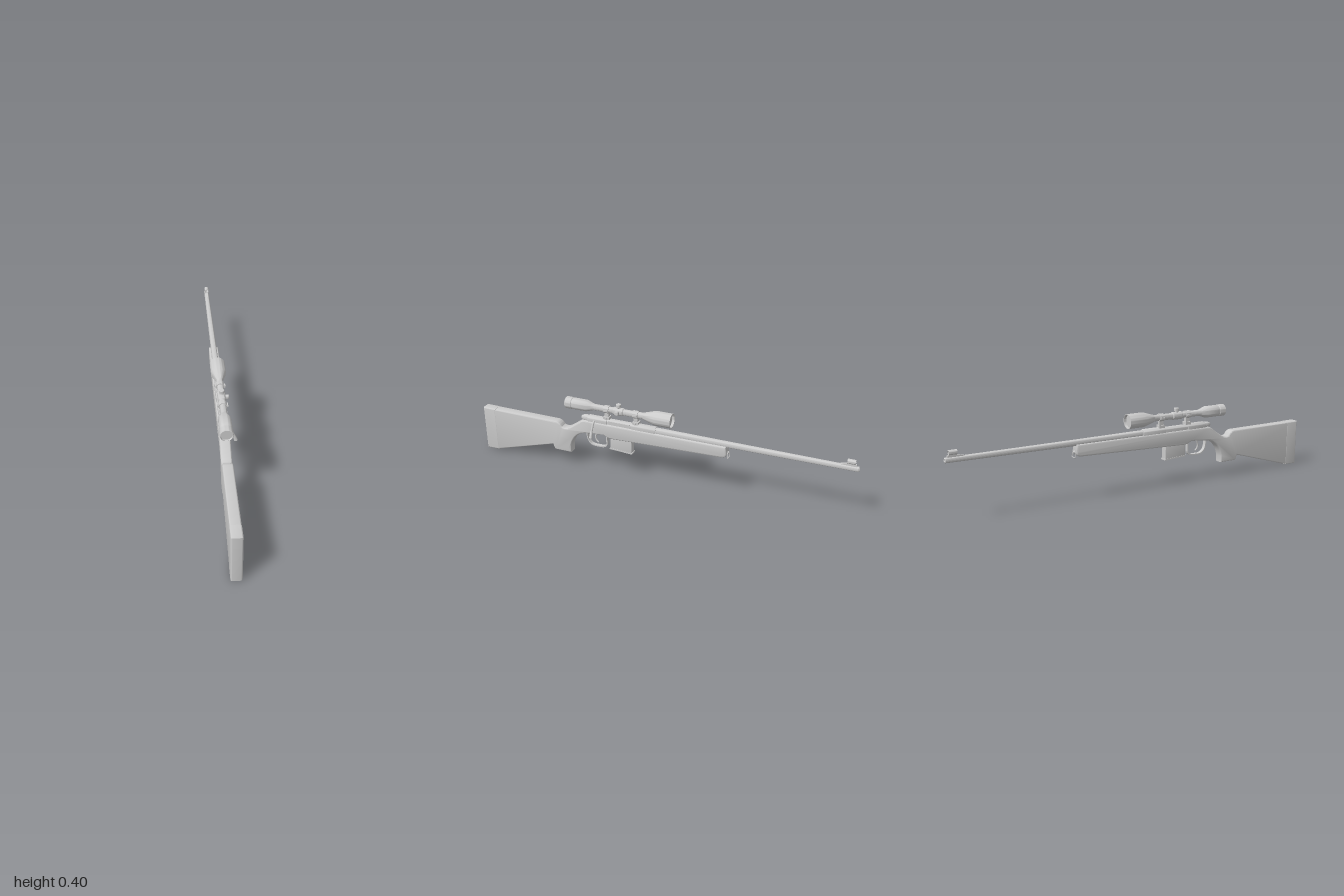
import * as THREE from 'three';
import { toCreasedNormals } from 'three/addons/utils/BufferGeometryUtils.js';

const material = new THREE.MeshStandardMaterial({ color: 0xcccccc, side: THREE.DoubleSide });
const BORE_Y = 0.287, SCOPE_Y = 0.357;

export function createModel() {
  const model = new THREE.Group();
  model.name = 'rifle';
  const body = new THREE.Group(); // everything sits on one centre plane
  body.name = 'body';
  body.position.x = -0.012;
  model.add(body);

  function add(name, geometry, x = 0, y = 0, z = 0, parent = body) {
    const mesh = new THREE.Mesh(geometry, material);
    mesh.name = name;
    mesh.position.set(x, y, z);
    parent.add(mesh);
    return mesh;
  }

  // turned part along z, from [radius, z] pairs with z rising
  function turned(points, segments = 32) {
    const g = new THREE.LatheGeometry(points.map(([r, z]) => new THREE.Vector2(r, z)), segments);
    return toCreasedNormals(g.rotateX(Math.PI / 2), 0.6);
  }

  // side profile in (z, y), extruded across x with rounded edges
  function slab(shape, width, bevel) {
    const g = new THREE.ExtrudeGeometry(shape, {
      depth: width - 2 * bevel, bevelEnabled: bevel > 0, bevelSize: bevel,
      bevelThickness: bevel, bevelOffset: -bevel, bevelSegments: 3, curveSegments: 8,
    });
    g.translate(0, 0, bevel - width / 2).rotateY(-Math.PI / 2);
    return toCreasedNormals(g, 0.6);
  }

  function tube(points, radius, closed = false, tension = 0.5) {
    const path = new THREE.CatmullRomCurve3(points.map(p => new THREE.Vector3(...p)), closed, 'catmullrom', tension);
    return new THREE.TubeGeometry(path, 32, radius, 10, closed);
  }

  // Stock: butt, wrist, grip and forearm in one outline
  const s = new THREE.Shape();
  s.moveTo(0.995, 0.245);
  s.lineTo(0.995, 0.004);
  s.lineTo(0.925, 0.004);
  s.lineTo(0.58, 0.105);
  s.quadraticCurveTo(0.575, 0.077, 0.562, 0.077);
  s.lineTo(0.473, 0.077);
  s.lineTo(0.473, 0.112);
  s.bezierCurveTo(0.465, 0.155, 0.44, 0.197, 0.385, 0.208);
  s.lineTo(0.28, 0.218);
  s.quadraticCurveTo(0.26, 0.203, 0.235, 0.203);
  s.lineTo(0.1, 0.207);
  s.lineTo(-0.355, 0.221);
  s.quadraticCurveTo(-0.378, 0.224, -0.378, 0.245);
  s.lineTo(-0.372, 0.28);
  s.lineTo(0.385, 0.28);
  s.quadraticCurveTo(0.405, 0.278, 0.42, 0.262);
  s.lineTo(0.475, 0.224);
  s.quadraticCurveTo(0.5, 0.207, 0.522, 0.218);
  s.quadraticCurveTo(0.535, 0.243, 0.56, 0.243);
  s.closePath();
  add('stock', slab(s, 0.05, 0.007));

  // Butt pad
  const pad = new THREE.Shape([[1, 0.246], [0.925, 0.2455], [0.925, 0.002], [1, 0]]
    .map(p => new THREE.Vector2(...p)));
  add('buttPad', slab(pad, 0.0515, 0.007));

  // Barrel with hollow muzzle
  add('barrel', turned([
    [0, -0.97], [0.007, -0.97], [0.007, -0.998], [0.009, -1], [0.0125, -0.996], [0.013, -0.9],
    [0.0155, -0.35], [0.0175, -0.04], [0.0175, 0.02],
  ]), 0, BORE_Y);

  // Receiver, bolt and cocking piece
  add('receiver', turned([[0, -0.005], [0.02, -0.005], [0.022, 0], [0.022, 0.125], [0.019, 0.126],
    [0.019, 0.26], [0.022, 0.261], [0.022, 0.365], [0.019, 0.372], [0, 0.372]]), 0, BORE_Y);
  add('boltShroud', turned([[0, 0.36], [0.017, 0.36], [0.017, 0.385], [0.015, 0.395],
    [0.012, 0.405], [0.006, 0.411], [0, 0.412]]), 0, BORE_Y + 0.002);
  add('ejectionPort', new THREE.BoxGeometry(0.006, 0.014, 0.12), 0.018, BORE_Y + 0.006, 0.193);

  // Bolt handle
  const bolt = new THREE.Group();
  bolt.name = 'boltHandle';
  body.add(bolt);
  add('boltArm', tube([[0.01, 0.287, 0.33], [0.026, 0.284, 0.331], [0.036, 0.265, 0.333],
    [0.045, 0.238, 0.335], [0.053, 0.216, 0.336]], 0.0055), 0, 0, 0, bolt);
  const knob = add('boltKnob', toCreasedNormals(new THREE.CylinderGeometry(0.006, 0.009, 0.036, 20), 0.6),
    0.0505, 0.222, 0.336, bolt);
  knob.rotation.z = 0.33;

  // Magazine
  const mag = new THREE.Shape([[0.245, 0.225], [0.245, 0.143], [0.125, 0.136], [0.125, 0.225]]
    .map(p => new THREE.Vector2(...p)));
  add('magazine', slab(mag, 0.034, 0.003));
  const floor = new THREE.Shape([[0.248, 0.148], [0.248, 0.141], [0.122, 0.134], [0.122, 0.141]]
    .map(p => new THREE.Vector2(...p)));
  add('magazineFloor', slab(floor, 0.037, 0));

  // Trigger guard: rounded loop with an opening
  function loopPath(path, i) {
    path.moveTo(0.385 - i, 0.216 - i);
    path.quadraticCurveTo(0.385 - i, 0.137 + i, 0.335, 0.137 + i);
    path.lineTo(0.305, 0.137 + i);
    path.quadraticCurveTo(0.265 + i, 0.137 + i, 0.265 + i, 0.165);
    path.lineTo(0.265 + i, 0.222 - i);
    path.closePath();
    return path;
  }
  const guard = loopPath(new THREE.Shape(), 0);
  guard.holes.push(loopPath(new THREE.Path(), 0.006));
  add('triggerGuard', slab(guard, 0.02, 0));
  add('trigger', tube([[0, 0.215, 0.325], [0, 0.19, 0.335], [0, 0.172, 0.332], [0, 0.158, 0.32]], 0.0042));

  // Scope body
  const scope = new THREE.Group();
  scope.name = 'scope';
  scope.position.y = SCOPE_Y;
  body.add(scope);
  add('scopeTube', turned([
    [0, -0.075], [0.033, -0.075], [0.034, -0.088], [0.037, -0.088], [0.037, -0.005], [0.034, 0.01],
    [0.019, 0.058], [0.016, 0.066], [0.016, 0.17], [0.02, 0.175], [0.02, 0.225], [0.016, 0.23],
    [0.016, 0.335], [0.02, 0.35], [0.028, 0.372], [0.03, 0.38], [0.03, 0.45], [0.0285, 0.453],
    [0.0285, 0.457], [0.031, 0.46], [0.031, 0.493], [0.0285, 0.495], [0.027, 0.487], [0, 0.487],
  ], 40), 0, 0, 0, scope);

  // Adjustment turrets, on top and on the right-hand face
  const turret = () => toCreasedNormals(new THREE.LatheGeometry(
    [[0, 0], [0.01, 0], [0.01, 0.022], [0.013, 0.024], [0.013, 0.038], [0.011, 0.04], [0, 0.04]]
      .map(p => new THREE.Vector2(...p)), 24), 0.6);
  add('topTurret', turret(), 0, 0, 0.2, scope);
  const side = add('sideTurret', turret(), 0, 0, 0.2, scope);
  side.rotation.z = -Math.PI / 2;
  side.scale.set(0.85, 0.85, 0.85);

  // Scope mounts: ring, pedestal, base and clamp screw
  for (const z of [0.265, 0.105]) {
    const mount = new THREE.Group();
    mount.name = 'scopeMount';
    mount.position.z = z;
    body.add(mount);
    add('ring', turned([[0.015, -0.014], [0.02, -0.014], [0.02, 0.014], [0.015, 0.014]]), 0, SCOPE_Y, 0, mount);
    add('pedestal', new THREE.BoxGeometry(0.018, 0.032, 0.022), 0, 0.328, 0, mount);
    add('base', new THREE.BoxGeometry(0.03, 0.014, 0.032), 0, 0.312, 0, mount);
    const screw = add('clampScrew', new THREE.CylinderGeometry(0.006, 0.006, 0.01, 16), 0.017, 0.312, 0, mount);
    screw.rotation.z = Math.PI / 2;
    for (const x of [-0.021, 0.021])
      add('ringLug', new THREE.BoxGeometry(0.008, 0.008, 0.022), x, SCOPE_Y, 0, mount);
  }

  // Front sight: ramp, blade and hood
  const ramp = new THREE.Shape([[-0.9, 0.297], [-0.945, 0.309], [-0.985, 0.309], [-0.988, 0.295]]
    .map(p => new THREE.Vector2(...p)));
  add('sightRamp', slab(ramp, 0.011, 0));
  add('sightBlade', new THREE.BoxGeometry(0.003, 0.014, 0.012), 0, 0.314, -0.965);
  add('sightHood', turned([[0.009, -0.98], [0.0115, -0.98], [0.0115, -0.942], [0.009, -0.942], [0.009, -0.98]], 24),
    0, 0.319, 0);

  // Sling loop under the forearm tip
  add('slingStud', new THREE.SphereGeometry(0.007, 16, 10), 0, 0.243, -0.378);
  add('slingLoop', tube([[-0.013, 0.243, -0.38], [0.013, 0.243, -0.38], [0.016, 0.217, -0.383],
    [-0.016, 0.217, -0.383]], 0.0022, true, 0.1));

  return model;
}
